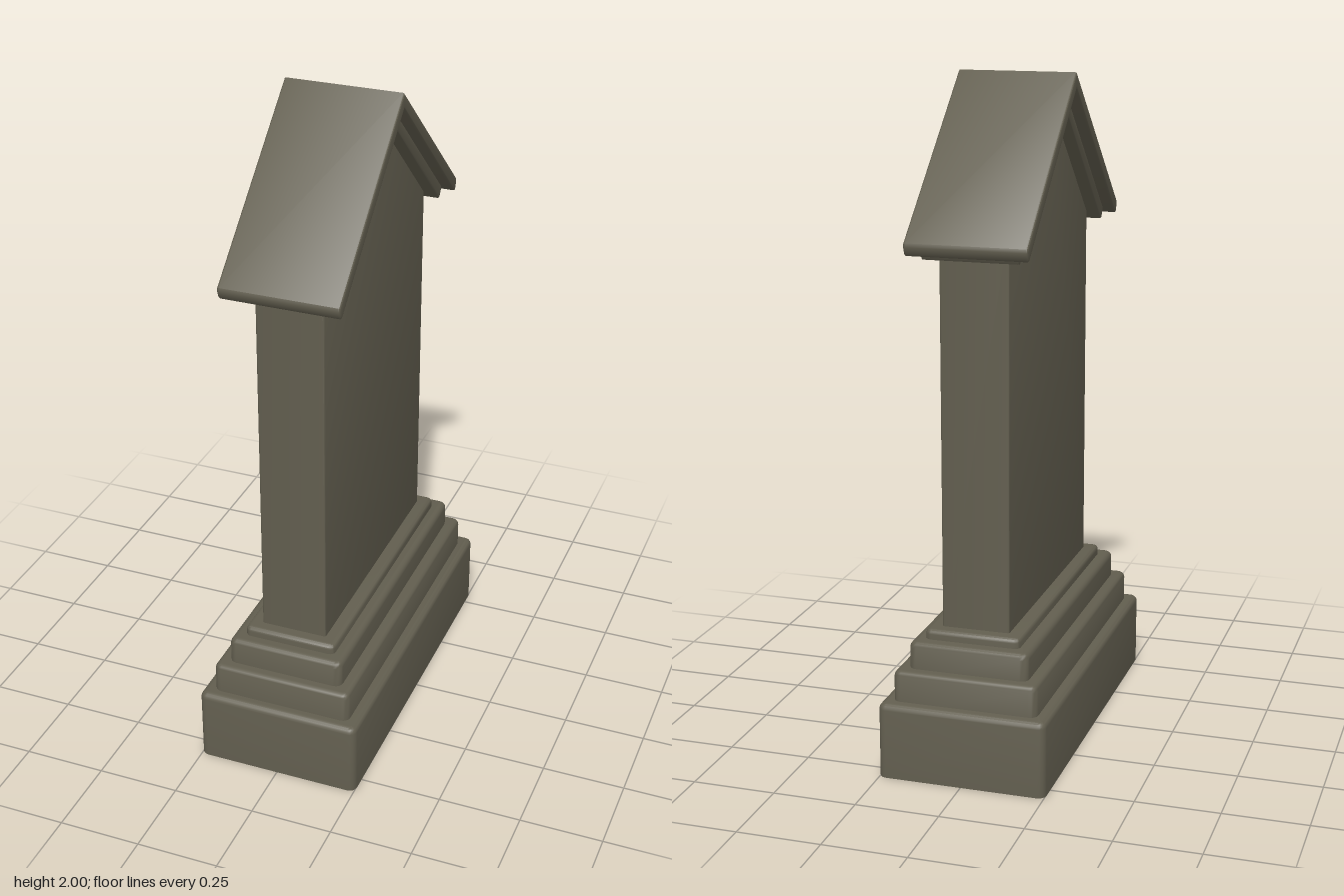
import * as THREE from 'three';
import { toCreasedNormals } from 'three/addons/utils/BufferGeometryUtils.js';

const stone = new THREE.MeshStandardMaterial({ color: 0x625e4f });
stone.name = 'weatheredStone';

function addMesh(group, name, geometry) {
  const mesh = new THREE.Mesh(toCreasedNormals(geometry, 0.7), stone);
  mesh.name = name;
  group.add(mesh);
}

// Rounded rectangle outline in the ground plane
function outline(hx, hz, r) {
  const pts = [];
  const corners = [[1, 1], [-1, 1], [-1, -1], [1, -1]];
  corners.forEach(([sx, sz], q) => {
    for (let i = 0; i <= 4; i++) {
      const a = (q + i / 4) * Math.PI / 2;
      pts.push([sx * (hx - r) + r * Math.cos(a), sz * (hz - r) + r * Math.sin(a)]);
    }
  });
  return pts;
}

// Block with rounded upright corners, a rounded top edge and a flat base
function stepGeometry(hx, hz, y0, y1, r) {
  const rings = [[0, y0]];
  for (let i = 0; i <= 4; i++) {
    const a = i / 4 * Math.PI / 2;
    rings.push([r * (1 - Math.cos(a)), y1 - r + r * Math.sin(a)]);
  }
  const pos = [], index = [];
  rings.forEach(([inset, y]) => {
    outline(hx - inset, hz - inset, Math.max(r * 1.3 - inset, 0.003))
      .forEach(([x, z]) => pos.push(x, y, z));
  });
  const n = 20, last = (rings.length - 1) * n;
  for (let k = 0; k < rings.length - 1; k++) {
    for (let i = 0; i < n; i++) {
      const a = k * n + i, b = k * n + (i + 1) % n;
      index.push(a, a + n, b, b, a + n, b + n);
    }
  }
  for (let i = 1; i < n - 1; i++) {
    index.push(0, i, i + 1, last, last + i + 1, last + i);
  }
  const g = new THREE.BufferGeometry();
  g.setAttribute('position', new THREE.Float32BufferAttribute(pos, 3));
  g.setIndex(index);
  return g;
}

// Side profile (z, y) extruded across x, with softened edges
function profileGeometry(points, halfWidth, bevel) {
  const shape = new THREE.Shape(points.map(([z, y]) => new THREE.Vector2(z, y)));
  const g = new THREE.ExtrudeGeometry(shape, {
    depth: 2 * (halfWidth - bevel), bevelEnabled: true, bevelSegments: 3,
    bevelSize: bevel, bevelThickness: bevel, bevelOffset: -bevel,
  });
  g.translate(0, 0, -(halfWidth - bevel));
  g.rotateY(Math.PI / 2);
  return g;
}

// Chevron profile: one eave end, mirrored across the ridge
function chevron(top, bottom, eave) {
  const mirrored = eave.map(([z, y]) => [-z, y]).reverse();
  return [[0, bottom], ...eave, [0, top], ...mirrored];
}

export function createModel() {
  const group = new THREE.Group();
  group.name = 'gabledMonument';

  // Stepped base
  addMesh(group, 'plinth', stepGeometry(0.252, 0.562, 0, 0.228, 0.018));
  addMesh(group, 'lowerStep', stepGeometry(0.217, 0.527, 0.2, 0.32, 0.018));
  addMesh(group, 'upperStep', stepGeometry(0.18, 0.492, 0.3, 0.4, 0.018));
  addMesh(group, 'baseMoulding', stepGeometry(0.143, 0.451, 0.38, 0.43, 0.014));

  // Upright slab with a gabled top
  addMesh(group, 'slab', profileGeometry(
    [[-0.412, 0.4], [0.412, 0.4], [0.412, 1.565], [0, 1.93], [-0.412, 1.565]], 0.102, 0.007));

  // Moulding under the roof, then the roof itself
  addMesh(group, 'roofMoulding', profileGeometry(
    chevron(1.965, 1.913, [[0.434, 1.513], [0.442, 1.514], [0.458, 1.538], [0.457, 1.557]]),
    0.142, 0.005));
  addMesh(group, 'roof', profileGeometry(
    chevron(2.0, 1.954, [[0.468, 1.531], [0.476, 1.528], [0.482, 1.533], [0.49, 1.554], [0.488, 1.565]]),
    0.179, 0.005));

  return group;
}
